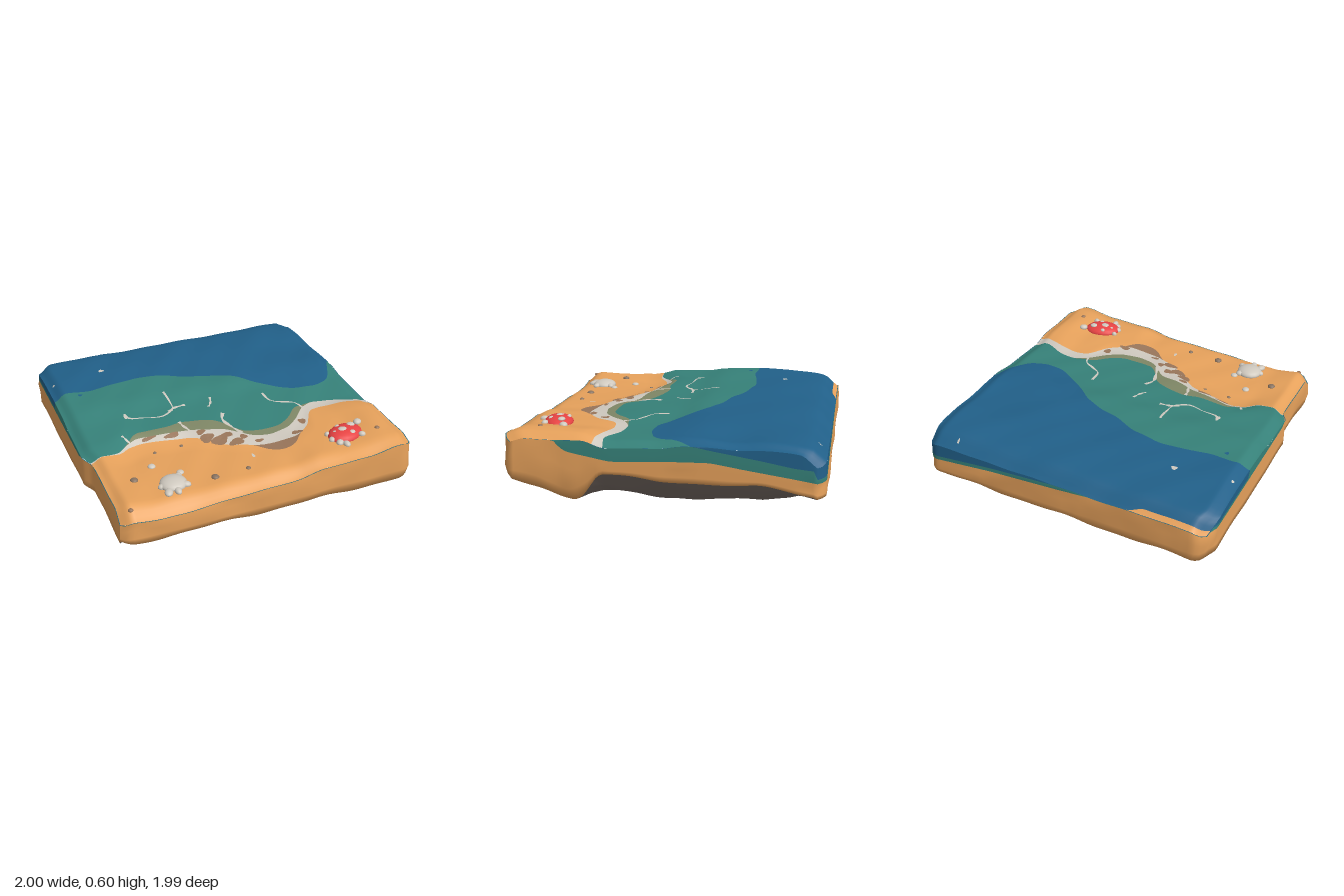
import * as THREE from 'three';

const mat = (name, color) => { const m = new THREE.MeshStandardMaterial({ color }); m.name = name; return m; };
const { lerp, smoothstep, clamp } = THREE.MathUtils;

// Piecewise-linear curve through [t, value, t, value, ...]
const curve = (a) => (t) => {
  if (t <= a[0]) return a[1];
  for (let i = 2; i < a.length; i += 2)
    if (t <= a[i]) return lerp(a[i - 1], a[i + 1], (t - a[i - 2]) / (a[i] - a[i - 2]));
  return a[a.length - 1];
};
// The same curve with its corners rounded off
const soft = (a) => { const f = curve(a); return (t) => (f(t - .03) + f(t - .015) + f(t) + f(t + .015) + f(t + .03)) / 5; };
const wobble = (x, y, z) => Math.sin(x * 9 + y * 7 + 1) * Math.sin(z * 8 - y * 5 + 2) + 0.5 * Math.sin(x * 19 + z * 15 + y * 11);

// Shore lines: z position across the tile
const deepEnd = soft([-1, -.36, -.9, -.38, -.75, -.36, -.6, -.39, -.4, -.41, -.2, -.37, -.05, -.29, .1, -.25, .25, -.18, .35, -.08,
  .5, .03, .6, .09, .75, .105, .87, .06, .93, -.05, .97, -.15, 1, -.2]);
const tealEnd = soft([-1, .36, -.9, .37, -.8, .36, -.7, .29, -.62, .21, -.4, .225, -.3, .2, -.15, .23, -.06, .27, 0, .36,
  .05, .44, .15, .46, .3, .46, .4, .4, .47, .31, .55, .3, .62, .28, .75, .3, .9, .37, 1, .35]);
const shallowEnd = soft([-1, .36, -.9, .37, -.8, .36, -.7, .29, -.62, .25, -.45, .28, -.3, .3, -.2, .34, -.05, .37, 0, .42,
  .08, .5, .2, .53, .35, .5, .45, .42, .52, .33, .62, .28, .75, .3, .9, .37, 1, .35]);
const foamEnd = soft([-1, .37, -.8, .37, -.7, .31, -.6, .29, -.4, .34, -.3, .36, -.25, .4, -.1, .53, 0, .57, .1, .61,
  .2, .62, .35, .62, .45, .55, .5, .5, .55, .38, .65, .36, .8, .38, .95, .42, 1, .42]);
const wetWidth = soft([.07, 0, .1, .04, .15, .075, .2, .09, .28, .085, .33, .05, .37, 0]);

// Heights of the water and beach
const waterY = soft([-1, .555, -.8, .585, -.6, .598, -.12, .595, 0, .568, .3, .553, .6, .535]);
const sandY = soft([-1, .535, -.9, .52, -.75, .5, -.6, .5, -.2, .515, .2, .525, .35, .555, .7, .56, .85, .59, 1, .585]);
const zEdge = (u) => .98 - .05 * Math.max(0, (Math.abs(u) - .92) / .08) ** 2;
const leftX = (z) => lerp(1, .95, smoothstep(z, .28, .4)) - .04 * smoothstep(-z, .82, .96);
const rightX = (z) => .995 - .01 * smoothstep(z, .3, .5);

function topPoint(u, z) {
  const s = smoothstep(z, foamEnd(u) - .09, foamEnd(u) + .07);
  const dip = .02 * Math.exp(-(((u - .85) / .25) ** 2) - ((z + .45) / .16) ** 2);
  const sideRim = (u < 0 ? .042 : .03) * smoothstep(Math.abs(u), .92, 1);
  const endRim = (z < 0 ? .055 : .05 - .02 * u) * smoothstep(Math.abs(z), zEdge(u) - .1, zEdge(u) + .02) * 1.1;
  const y = lerp(waterY(z) - dip, sandY(u), s) + .004 * wobble(u, 0, z) - sideRim - endRim;
  return [u * (u < 0 ? leftX(z) : rightX(z)), y, z];
}
const groundY = (x, z) => topPoint(clamp(x / (x < 0 ? leftX(z) : rightX(z)), -1, 1), z)[1];

// Surface from rows of points, one material index for each gap between rows
function loft(name, rows, gapMats, materials) {
  const n = rows[0].length, index = [], g = new THREE.BufferGeometry();
  gapMats.forEach((m, r) => {
    g.addGroup(index.length, (n - 1) * 6, m);
    for (let j = 0; j < n - 1; j++) {
      const a = r * n + j, c = a + n;
      index.push(a, c, a + 1, a + 1, c, c + 1);
    }
  });
  g.setAttribute('position', new THREE.Float32BufferAttribute(rows.flat(2), 3));
  g.setIndex(index);
  g.computeVertexNormals();
  const mesh = new THREE.Mesh(g, materials);
  mesh.name = name;
  return mesh;
}

export function createModel() {
  const model = new THREE.Group();
  model.name = 'beachTile';
  const deep = mat('deepWater', 0x216089), teal = mat('shallowWater', 0x368179), olive = mat('shoreWater', 0x7f8766);
  const foam = mat('foam', 0xcfc9bf), wet = mat('wetSand', 0x98755a), sand = mat('sand', 0xe6a15b);
  const rock = mat('rock', 0x7a6e67), red = mat('redShell', 0xea4444), stone = mat('pebble', 0x88725f);
  const mats = [deep, teal, olive, foam, wet, sand, rock];

  // Top: sea, foam and beach bands sharing one smooth surface
  const us = Array.from({ length: 121 }, (_, i) => -1 + i / 60);
  const bands = [
    [u => -zEdge(u) + .03 * (1 - smoothstep(u, -.6, -.48)), 2, 5, 1],
    [deepEnd, 14, 0, 1.6], [tealEnd, 10, 1, 1], [shallowEnd, 2, 2, 1], [foamEnd, 3, 3, 1],
    [u => foamEnd(u) + wetWidth(u), 2, 4, 1], [zEdge, 14, 5, -1.6],
  ];
  const rows = [us.map(u => topPoint(u, -zEdge(u)))], gaps = [];
  let from = u => -zEdge(u);
  for (const [to, steps, m, bias] of bands) {
    const start = from;
    for (let k = 1; k <= steps; k++) {
      const t = k / steps, e = bias < 0 ? 1 - (1 - t) ** -bias : t ** bias;
      rows.push(us.map(u => topPoint(u, lerp(start(u), to(u), e))));
      gaps.push(m);
    }
    from = to;
  }
  model.add(loft('seaAndBeach', rows, gaps, mats));

  // Side levels: blue bottom, teal bottom, sand bottom
  const rightDeep = soft([-1, .45, -.8, .465, -.6, .5, -.3, .545, 0, .6]);
  const rightTeal = soft([-1, .37, -.8, .4, -.5, .44, -.3, .47, 0, .46, .3, .44, .5, .47, .6, .49, .7, .6]);
  const rightSand = soft([-1, .29, -.6, .34, 0, .335, .38, .36, .45, .25, .55, .165, .65, .18, .75, .24, 1, .3]);
  const backTeal = soft([-1, .6, -.5, .53, 0, .48, .5, .44, 1, .38]);
  const leftTeal = soft([-1, .52, -.9, .48, -.3, .485, .25, .49, .4, .6]);
  const rim = [];
  const N = 80;
  for (let side = 0; side < 4; side++)
    for (let i = 0; i < N; i++) {
      const t = -1 + 2 * i / N;
      if (side === 0) rim.push([topPoint(t, zEdge(t)), 9, 9, .3]);
      if (side === 1) { const z = -t * zEdge(1); rim.push([topPoint(1, z), rightDeep(z), rightTeal(z), rightSand(z)]); }
      if (side === 2) rim.push([topPoint(-t, -zEdge(t)), backTeal(-t) + .025, backTeal(-t), .29]);
      if (side === 3) {
        const z = t * zEdge(1), b = leftTeal(z);
        rim.push([topPoint(-1, z), z > -.36 ? 9 : b + .02, b, lerp(.31, .27, smoothstep(z, .6, .93))]);
      }
    }
  rim.push(rim[0]);
  const body = [[], [], [], [], [], []];
  const hull = [[.9, .23], [.8, .17], [.65, .095], [.5, .038], [.25, .022], [0, .004]];
  hull.forEach(() => body.push([]));
  for (const [[x, top, z], a, b, c] of rim) {
    const ya = Math.min(a, top), yb = Math.min(b, ya), bottom = c + .007 * wobble(x, 1, z);
    const out = (y, s) => [clamp(x * s, -1, 1), y, clamp(z * s, -.995, .995)];
    body[0].push([x, top, z]);
    body[1].push(out(ya, 1.003));
    body[2].push(out(yb, 1.005));
    [.35, .75].forEach((t, k) => {
      const y = lerp(yb, bottom, t);
      body[3 + k].push(out(y, 1.008 + .007 * wobble(x, y * 3, z)));
    });
    body[5].push(out(bottom, lerp(.965, 1.005, smoothstep(c, .16, .28))));
    // Rock hull, rounding toward a blunt point, steeper on the left-hand flank
    const round = Math.max(Math.abs(x), Math.abs(z)) / Math.hypot(x, z);
    hull.forEach(([s, y], k) => {
      const q = s * lerp(round, 1, s), flank = x < 0 ? lerp(.78, 1, smoothstep(s, .4, .85)) : .95;
      const py = Math.min(y, bottom - .01 * k) + .014 * s * wobble(x * s, 2, z * s);
      body[6 + k].push([x * q * flank + .03 * (1 - s), Math.max(py, .004), lerp(-.07, z, q)]);
    });
  }
  model.add(loft('cliffAndRock', body, [0, 1, 5, 5, 5, 6, 6, 6, 6, 6, 6], mats));

  // Foam streaks draped on the water
  const streak = (pts, width) => {
    const path = new THREE.SplineCurve(pts.map(p => new THREE.Vector2(...p)));
    const lines = [[], []], n = 20;
    for (let i = 0; i <= n; i++) {
      const t = i / n, p = path.getPoint(t), d = path.getTangent(t);
      const w = width * (.35 + .65 * Math.abs(Math.sin(t * 7 + 1)));
      [-1, 1].forEach((s, k) => {
        const x = p.x - d.y * w * s, z = p.y + d.x * w * s;
        lines[k].push([x, groundY(x, z) + .004, z]);
      });
    }
    model.add(loft('foamStreak', lines, [3], mats));
  };
  streak([[-.62, .03], [-.59, .06], [-.5, .075], [-.4, .1], [-.33, .07], [-.29, .03], [-.285, -.05], [-.29, -.16]], .008);
  streak([[-.33, .06], [-.28, .03], [-.2, .02]], .012);
  streak([[-.01, 0], [-.03, .06], [-.06, .1]], .009);
  streak([[.35, .07], [.36, .17], [.43, .22], [.5, .26], [.53, .34]], .009);
  streak([[-.31, .2], [-.3, .26], [-.27, .34]], .011);
  streak([[0, .2], [-.03, .27], [-.01, .35], [.03, .46]], .013);
  streak([[-.71, .22], [-.69, .26], [-.66, .3]], .009);

  // Thin draped spots
  const spot = (name, x, z, rx, rz, m) => {
    const n = 14, ring = s => Array.from({ length: n + 1 }, (_, i) => {
      const a = -i / n * Math.PI * 2, r = s * (1 + .15 * Math.sin(a * 3 + x * 20));
      const px = x + Math.cos(a) * rx * r, pz = z + Math.sin(a) * rz * r;
      return [px, groundY(px, pz) + .006, pz];
    });
    model.add(loft(name, [ring(0.001), ring(1)], [m], mats));
  };
  [[-.6, -.6, .02, .018], [-.96, -.54, .008, .012], [.77, -.93, .007, .015], [-.62, .03, .014, .03], [0, .7, .01, .02]]
    .forEach(([x, z, rx, rz]) => spot('foamFleck', x, z, rx, rz, 3));
  spot('deepFleck', -.83, -.32, .014, .014, 0);
  [[-.2, .42, .045, .035], [-.13, .47, .055, .04], [-.04, .53, .05, .03], [-.07, .44, .04, .025], [.02, .5, .025, .025],
    [-.22, .36, .03, .02], [-.4, .31, .05, .018], [-.55, .28, .05, .012], [.1, .57, .03, .015], [.45, .48, .025, .03], [.36, .585, .04, .02]]
    .forEach(([x, z, rx, rz]) => spot('wetPatch', x, z, rx, rz, 4));

  // Rounded lumps for pebbles and turtles
  const ball = new THREE.SphereGeometry(1, 18, 12);
  const blob = (parent, name, m, x, z, rx, ry, rz, lift = 0, turn = 0) => {
    const b = new THREE.Mesh(ball, m);
    b.name = name;
    b.position.set(x, groundY(x, z) + lift, z);
    b.scale.set(rx, ry, rz);
    b.rotation.y = turn;
    parent.add(b);
  };
  [[-.77, .65, .025, stone], [-.3, .8, .025, stone], [-.08, .8, .016, stone], [.83, .79, .016, wet], [-.62, .54, .025, foam],
    [-.48, .67, .024, foam], [-.55, .4, .012, stone], [-.37, .4, .013, stone], [-.88, .92, .016, wet]]
    .forEach(([x, z, r, m]) => blob(model, 'pebble', m, x, z, r, r * .6, r));

  // Pale turtle: domed shell with stubby limbs
  const pale = new THREE.Group();
  pale.name = 'paleTurtle';
  model.add(pale);
  blob(pale, 'shell', foam, -.56, .765, .086, .038, .084, .004);
  [[-.617, .845, .026, .036, -.4], [-.56, .85, .022, .034, 0], [-.495, .805, .034, .024, -.5], [-.635, .775, .026, .022, 0], [-.51, .71, .03, .024, .7]]
    .forEach(([x, z, rx, rz, turn]) => blob(pale, 'limb', foam, x, z, rx, .02, rz, .004, turn));

  // Red-shelled turtle with pale patches and limbs
  const turtle = new THREE.Group();
  turtle.name = 'redTurtle';
  model.add(turtle);
  blob(turtle, 'shell', red, .63, .735, .128, .046, .094, 0, .3);
  [[.757, .665, .03, .026, .6], [.522, .77, .028, .024, .3], [.55, .815, .03, .024, .8], [.58, .848, .022, .03, 0],
    [.715, .8, .024, .02, -.5], [.515, .705, .018, .016, 0]]
    .forEach(([x, z, rx, rz, turn]) => blob(turtle, 'limb', foam, x, z, rx, .02, rz, .003, turn));
  [[.61, .735, .034, .037], [.685, .7, .028, .033], [.56, .735, .022, .026], [.655, .775, .024, .029], [.6, .68, .018, .026]]
    .forEach(([x, z, r, lift]) => blob(turtle, 'shellPatch', foam, x, z, r, .013, r * .85, lift));
  return model;
}
